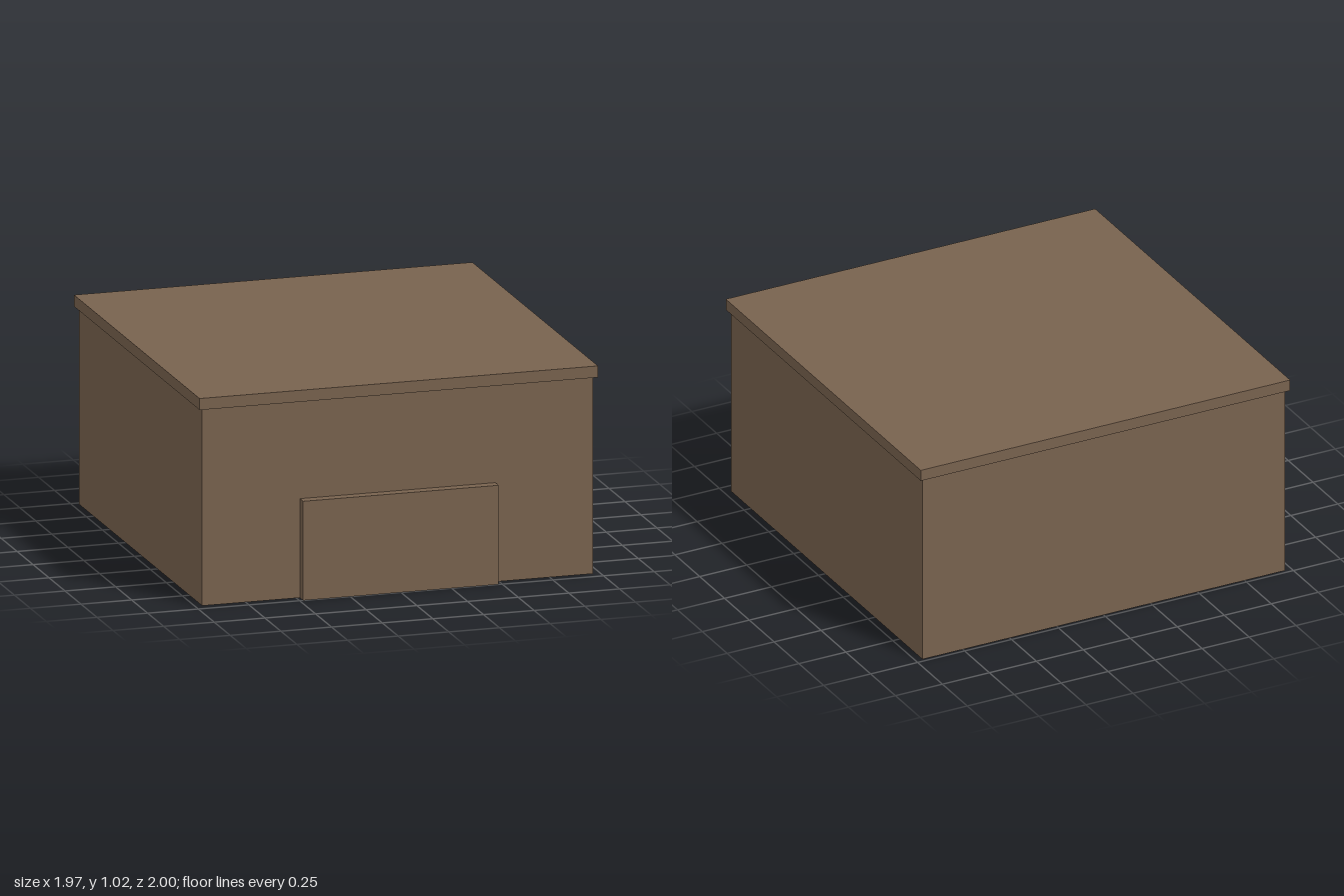
import * as THREE from 'three';

export function createModel() {
  const model = new THREE.Group();
  model.name = 'storageBox';

  const brown = new THREE.MeshStandardMaterial({ color: 0x78624e });
  brown.name = 'brown';

  // Box given by its size and the x = 0 centred base, from y0 and z0 upward
  function addBox(name, width, y0, y1, z0, z1) {
    const mesh = new THREE.Mesh(new THREE.BoxGeometry(width, y1 - y0, z1 - z0), brown);
    mesh.position.set(0, (y0 + y1) / 2, (z0 + z1) / 2);
    mesh.name = name;
    model.add(mesh);
  }

  // Main body
  addBox('body', 1.93, 0, 0.96, -0.982, 0.949);
  // Flat slab overhanging the body evenly
  addBox('topSlab', 1.966, 0.96, 1.016, -1, 0.967);
  // Raised panel on the lower front
  addBox('frontPanel', 0.965, 0, 0.483, 0.949, 1);

  return model;
}
